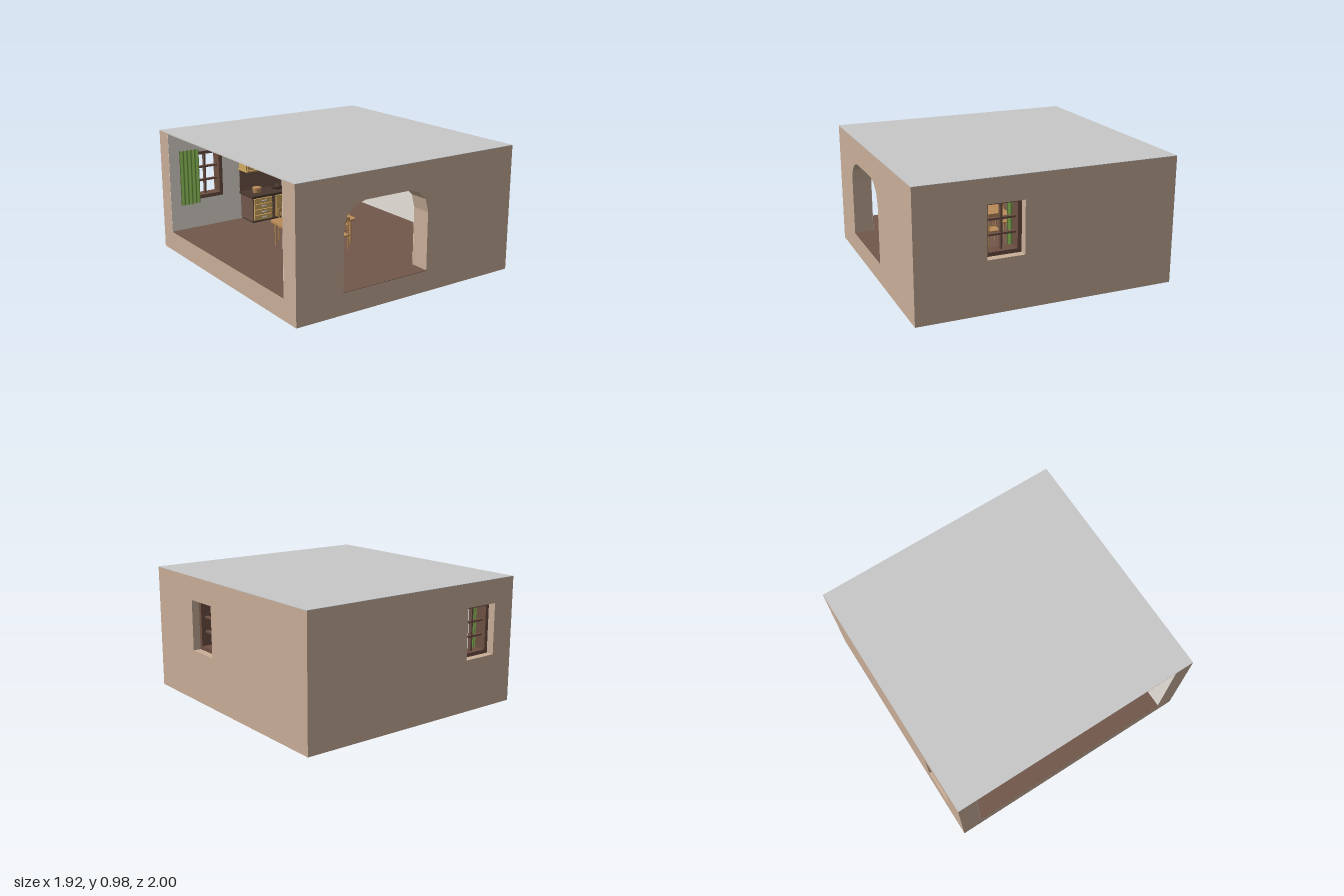
import * as THREE from 'three';

const mat = (name, color, side = THREE.FrontSide) => {
  const m = new THREE.MeshStandardMaterial({ color, side });
  m.name = name;
  return m;
};

export function createModel() {
  const tan = mat('tan plaster', 0xc9af98), cream = mat('cream plaster', 0xf8f2ea);
  const grey = mat('roof grey', 0xc8c8c8), brown = mat('floor brown', 0x72574a);
  const frameBrown = mat('frame brown', 0x6e5043), honey = mat('honey wood', 0xd2ab62);
  const oak = mat('oak', 0xb98a58), metal = mat('metal', 0xb4b9c2);
  const dark = mat('dark brown', 0x4a382e), green = mat('curtain green', 0x6f9645, THREE.DoubleSide);

  const root = new THREE.Group();
  root.name = 'kitchenRoom';
  const add = (parent, name, geo, m, x = 0, y = 0, z = 0) => {
    const mesh = new THREE.Mesh(geo, m);
    mesh.name = name;
    mesh.position.set(x, y, z);
    parent.add(mesh);
    return mesh;
  };
  const group = (parent, name, x = 0, y = 0, z = 0, ry = 0) => {
    const g = new THREE.Group();
    g.name = name;
    g.position.set(x, y, z);
    g.rotation.y = ry;
    parent.add(g);
    return g;
  };
  // Box given by its minimum and maximum corners
  const box = (parent, name, m, x0, x1, y0, y1, z0, z1) =>
    add(parent, name, new THREE.BoxGeometry(x1 - x0, y1 - y0, z1 - z0), m,
      (x0 + x1) / 2, (y0 + y1) / 2, (z0 + z1) / 2);
  const rect = (x0, x1, y0, y1) =>
    [[x0, y0], [x1, y0], [x1, y1], [x0, y1]].map(p => new THREE.Vector2(...p));
  const panel = (outline, hole, depth) => {
    const s = new THREE.Shape(outline);
    s.holes.push(new THREE.Path(hole));
    return new THREE.ExtrudeGeometry(s, { depth, bevelEnabled: false });
  };

  // Shell: floor slab, three thick walls, thin roof, open left-hand side
  const H = 0.975, F = 0.16, W = 0.96;
  const arch = [[-0.58, F], [0.15, F], [0.15, 0.6], [0.125, 0.7], [0.06, 0.76], [-0.02, 0.785],
    [-0.4, 0.785], [-0.49, 0.76], [-0.555, 0.7], [-0.58, 0.6]].map(p => new THREE.Vector2(...p));
  const backHole = rect(-0.77, -0.49, 0.4, 0.795), sideHole = rect(-0.475, -0.195, 0.4, 0.795);
  add(root, 'frontWall', panel(rect(-W, W, 0, H), arch, 0.15), tan, 0, 0, 0.85);
  add(root, 'backWall', panel(rect(-W, W, 0, H), backHole, 0.15), tan, 0, 0, -1);
  add(root, 'sideWall', panel(rect(-0.85, 0.85, 0, H), sideHole, 0.15), tan, 0.81).rotation.y = Math.PI / 2;
  box(root, 'floorSlab', tan, -W, 0.81, 0, F, -0.85, 0.85);
  box(root, 'floor', brown, -W, 0.81, F, F + 0.003, -0.85, 0.85);
  box(root, 'thresholdFloor', brown, -0.58, 0.15, F, F + 0.003, 0.85, 1);
  box(root, 'roof', grey, -W, W, H, H + 0.004, -1, 1);

  // Pale inner wall faces
  add(root, 'frontWallLining', panel(rect(-W, 0.81, F, H), [...arch].map(p =>
    new THREE.Vector2(p.x, Math.max(p.y, F + 0.003))), 0.003), cream, 0, 0, 0.847);
  add(root, 'backWallLining', panel(rect(-W, 0.81, F, H), backHole, 0.003), cream, 0, 0, -0.85);
  add(root, 'sideWallLining', panel(rect(-0.85, 0.85, F, H), sideHole, 0.003), cream, 0.807).rotation.y = Math.PI / 2;
  box(root, 'ceiling', cream, -W, 0.81, H - 0.003, H, -0.85, 0.85);

  // Window with six panes and one gathered curtain; local +z faces into the room
  const makeWindow = (x, z, ry, side) => {
    const g = group(root, 'window', x, 0.5975, z, ry);
    add(g, 'windowFrame', panel(rect(-0.14, 0.14, -0.1975, 0.1975), rect(-0.11, 0.11, -0.168, 0.172), 0.095),
      frameBrown, 0, 0, -0.09);
    box(g, 'verticalBar', frameBrown, -0.007, 0.007, -0.168, 0.172, -0.06, -0.03);
    for (const y of [-0.055, 0.057]) box(g, 'crossBar', frameBrown, -0.11, 0.11, y - 0.007, y + 0.007, -0.06, -0.03);
    const cloth = new THREE.PlaneGeometry(0.17, 0.45, 40, 1);
    const p = cloth.attributes.position;
    for (let i = 0; i < p.count; i++) p.setZ(i, 0.012 * Math.sin((p.getX(i) / 0.17) * Math.PI * 10));
    cloth.computeVertexNormals();
    add(g, 'curtain', cloth, green, side * 0.165, 0, 0.025);
  };
  makeWindow(-0.63, -0.85, 0, -1);
  makeWindow(0.81, 0.335, -Math.PI / 2, -1);

  // Kitchen run along the back wall
  const kitchen = group(root, 'kitchenUnits');
  const B = -0.847, lowZ = -0.65, upZ = -0.73, E = 0.807;
  box(kitchen, 'backsplash', brown, -0.33, E, 0.4, 0.6, B, B + 0.006);
  box(kitchen, 'plinth', dark, -0.31, E, F, 0.185, B, lowZ - 0.02);
  box(kitchen, 'lowerCarcass', brown, -0.32, E, 0.18, 0.385, B, lowZ);
  box(kitchen, 'counter', dark, -0.335, E, 0.385, 0.402, B, lowZ + 0.02);
  box(kitchen, 'upperCarcass', honey, -0.33, E, 0.595, 0.85, B, upZ);
  box(kitchen, 'cabinetCornice', honey, -0.335, E, 0.85, 0.868, B, upZ + 0.02);
  box(kitchen, 'cabinetRail', honey, -0.335, E, 0.59, 0.603, B, upZ + 0.015);

  const handle = (x, y, z, upright) => {
    const h = add(kitchen, 'handle', new THREE.TorusGeometry(0.018, 0.005, 6, 12, Math.PI), metal, x, y, z);
    h.rotation.set(Math.PI / 2, upright ? Math.PI / 2 : 0, 0, 'ZXY');
    if (upright) h.rotation.set(0, Math.PI / 2, Math.PI / 2, 'YZX');
    if (upright) h.rotation.set(0, -Math.PI / 2, 0), h.rotation.z = -Math.PI / 2;
  };
  const door = (x0, x1, y0, y1, z, hx, hy) => {
    add(kitchen, 'doorFrame', panel(rect(x0, x1, y0, y1),
      rect(x0 + 0.018, x1 - 0.018, y0 + 0.018, y1 - 0.018), 0.014), honey, 0, 0, z);
    box(kitchen, 'doorPanel', honey, x0 + 0.018, x1 - 0.018, y0 + 0.018, y1 - 0.018, z, z + 0.008);
    box(kitchen, 'handle', metal, hx - 0.006, hx + 0.006, hy - 0.02, hy + 0.02, z + 0.014, z + 0.026);
  };
  // Upper doors: one single, then pairs
  door(-0.322, -0.168, 0.608, 0.845, upZ, -0.19, 0.712);
  for (let x = -0.152; x < 0.7; x += 0.32) {
    door(x, x + 0.151, 0.608, 0.845, upZ, x + 0.138, 0.712);
    door(x + 0.154, x + 0.305, 0.608, 0.845, upZ, x + 0.167, 0.712);
  }
  // Drawer stack and lower doors
  for (let i = 0; i < 4; i++) {
    const y = 0.19 + i * 0.048;
    box(kitchen, 'drawer', honey, -0.31, -0.14, y, y + 0.042, lowZ, lowZ + 0.014);
    handle(-0.222, y + 0.024, lowZ + 0.014, false);
  }
  for (let x = -0.1; x < 0.7; x += 0.31) {
    door(x, x + 0.145, 0.19, 0.376, lowZ, x + 0.13, 0.3);
    door(x + 0.148, x + 0.293, 0.19, 0.376, lowZ, x + 0.163, 0.3);
  }

  // Cooking pot and teapot on the counter
  const pot = group(kitchen, 'pot', -0.225, 0.402, -0.74);
  add(pot, 'potBody', new THREE.CylinderGeometry(0.038, 0.034, 0.042, 16), oak, 0, 0.021);
  add(pot, 'potLid', new THREE.CylinderGeometry(0.02, 0.04, 0.008, 16), oak, 0, 0.046);
  const tea = group(kitchen, 'teapot', -0.02, 0.402, -0.74);
  const profile = [[0, 0], [0.03, 0], [0.044, 0.014], [0.038, 0.03], [0.015, 0.042], [0.005, 0.046], [0, 0.054]];
  add(tea, 'teapotBody', new THREE.LatheGeometry(profile.map(p => new THREE.Vector2(...p)), 16), dark);
  const spout = new THREE.CatmullRomCurve3([[0.035, 0.014, 0], [0.052, 0.022, 0], [0.056, 0.042, 0]]
    .map(p => new THREE.Vector3(...p)));
  add(tea, 'spout', new THREE.TubeGeometry(spout, 8, 0.005, 6), dark);
  add(tea, 'teapotHandle', new THREE.TorusGeometry(0.016, 0.004, 6, 14), dark, -0.044, 0.022);

  // Dining table with rounded corners
  const table = group(root, 'table', -0.2, F, 0.07);
  const a = 0.29, b = 0.18, r = 0.04, top = new THREE.Shape();
  top.absarc(a - r, b - r, r, 0, Math.PI / 2);
  top.absarc(r - a, b - r, r, Math.PI / 2, Math.PI);
  top.absarc(r - a, r - b, r, Math.PI, Math.PI * 1.5);
  top.absarc(a - r, r - b, r, Math.PI * 1.5, Math.PI * 2);
  add(table, 'tableTop', new THREE.ExtrudeGeometry(top, { depth: 0.014, bevelEnabled: false, curveSegments: 5 }),
    oak, 0, 0.196).rotation.x = -Math.PI / 2;
  box(table, 'tableApron', oak, -0.25, 0.25, 0.178, 0.196, -0.14, 0.14);
  for (const x of [-0.252, 0.252]) for (const z of [-0.145, 0.145])
    add(table, 'tableLeg', new THREE.CylinderGeometry(0.009, 0.006, 0.196, 8), oak, x, 0.098, z);

  // Chair: local +z is the back rest
  const chair = (x, z, ry) => {
    const g = group(root, 'chair', x, F, z, ry);
    box(g, 'seat', oak, -0.055, 0.055, 0.112, 0.122, -0.055, 0.055);
    for (const s of [-1, 1]) {
      add(g, 'frontLeg', new THREE.CylinderGeometry(0.006, 0.005, 0.112, 8), oak, s * 0.046, 0.056, -0.046);
      add(g, 'backPost', new THREE.CylinderGeometry(0.006, 0.006, 0.255, 8), oak, s * 0.046, 0.1275, 0.048);
    }
    box(g, 'topRail', oak, -0.055, 0.055, 0.238, 0.262, 0.043, 0.053);
    box(g, 'lowRail', oak, -0.046, 0.046, 0.16, 0.168, 0.044, 0.052);
    for (const s of [-0.018, 0.018]) box(g, 'backSlat', oak, s - 0.004, s + 0.004, 0.165, 0.24, 0.045, 0.051);
  };
  for (const x of [-0.31, -0.09]) {
    chair(x, 0.27, 0);
    chair(x, -0.13, Math.PI);
  }
  chair(0.07, 0.07, Math.PI / 2);
  return root;
}
